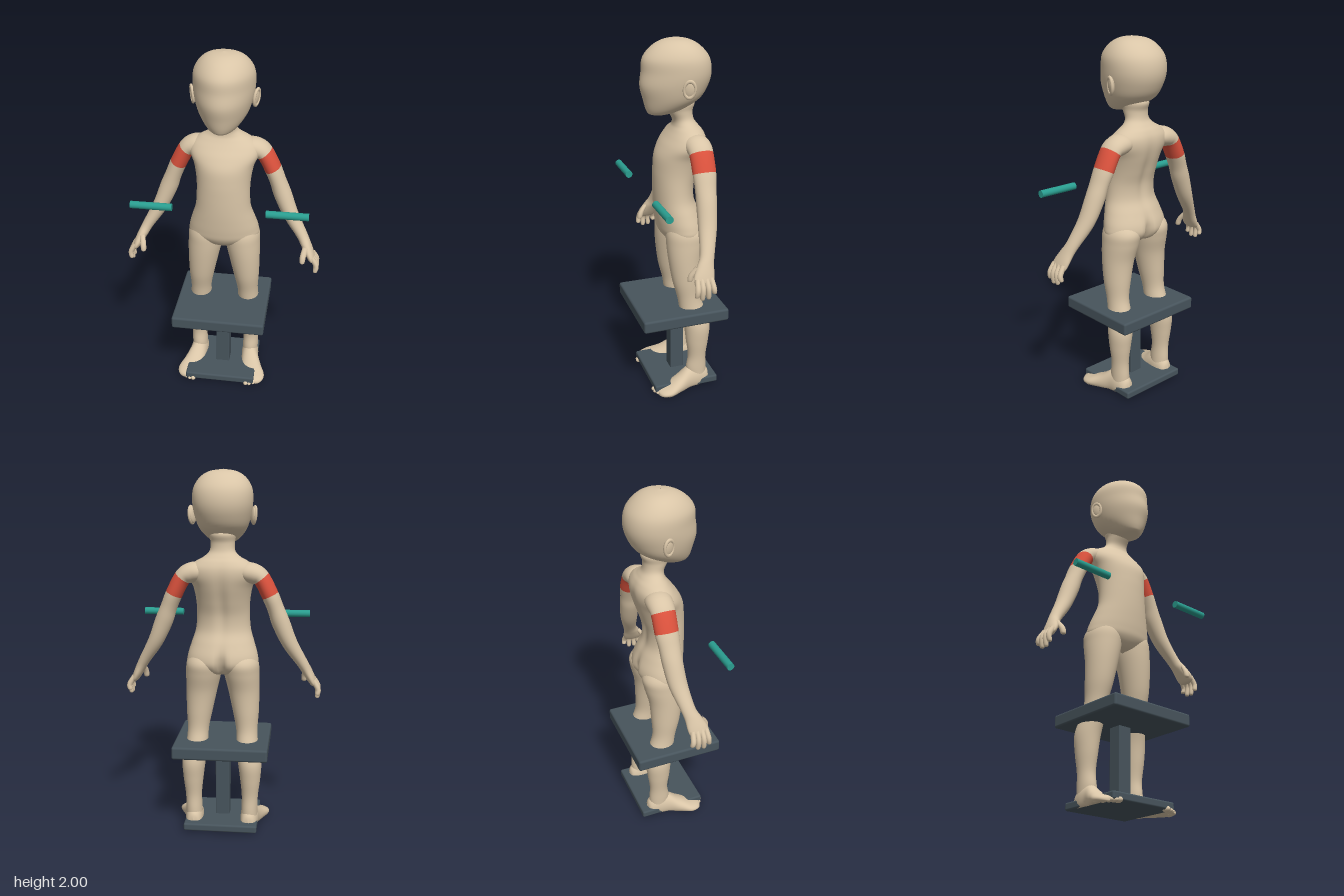
import * as THREE from 'three';
import { RoundedBoxGeometry } from 'three/addons/geometries/RoundedBoxGeometry.js';

const X = new THREE.Vector3(1, 0, 0), Y = new THREE.Vector3(0, 1, 0), Z = new THREE.Vector3(0, 0, 1);
const STEPS = 6;

// Smooth skin through rings [x, y, z, radiusA, radiusB]; axis fixes the ring plane, otherwise rings follow the path.
function loft(rings, { axis = null, side = Z, segs = 32, shape = null } = {}) {
  const centers = new THREE.CatmullRomCurve3(rings.map(r => new THREE.Vector3(r[0], r[1], r[2])), false, 'catmullrom', 0.5);
  const radii = new THREE.CatmullRomCurve3(rings.map(r => new THREE.Vector3(r[3], r[4], 0)), false, 'catmullrom', 0.5);
  const n = (rings.length - 1) * STEPS;
  const pos = [], idx = [];
  for (let i = 0; i <= n; i++) {
    const c = centers.getPoint(i / n), r = radii.getPoint(i / n);
    const t = axis ? axis : centers.getTangent(i / n);
    const u = new THREE.Vector3().crossVectors(t, side).normalize();
    for (let j = 0; j < segs; j++) {
      const a = (j / segs) * Math.PI * 2;
      const p = c.clone()
        .addScaledVector(u, Math.max(r.x, 0.0005) * Math.cos(a))
        .addScaledVector(side, Math.max(r.y, 0.0005) * Math.sin(a));
      if (shape) shape(p, Math.sin(a));
      pos.push(p.x, p.y, p.z);
      if (i < n) {
        const k = i * segs, a0 = k + j, b0 = k + (j + 1) % segs;
        idx.push(a0, a0 + segs, b0, b0, a0 + segs, b0 + segs);
      }
    }
  }
  const g = new THREE.BufferGeometry();
  g.setAttribute('position', new THREE.Float32BufferAttribute(pos, 3));
  g.setIndex(idx);
  g.computeVertexNormals();
  return g;
}

// Horizontal ring from height, centre x, half width, front z and back z
const slice = (y, x, hw, zf, zb) => [x, y, (zf + zb) / 2, hw, (zf - zb) / 2];
const bump = (v, c, w) => Math.exp(-(((v - c) / w) ** 2));

export function createModel() {
  const model = new THREE.Group();
  const mat = (name, color) => Object.assign(new THREE.MeshStandardMaterial({ color }), { name });
  const skin = mat('skin', 0xd9c5a7);
  const red = mat('red band', 0xdb523d);
  const slate = mat('slate', 0x47545c);
  const teal = mat('teal', 0x2a9d8f);

  const add = (name, geometry, material, parent = model) => {
    const m = new THREE.Mesh(geometry, material);
    m.name = name;
    parent.add(m);
    return m;
  };
  const ellipsoid = (name, parent, x, y, z, sx, sy, sz) => {
    const m = add(name, new THREE.SphereGeometry(1, 20, 14), skin, parent);
    m.position.set(x, y, z);
    m.scale.set(sx, sy, sz);
    return m;
  };

  // Head, narrowing toward the face
  add('head', loft([
    slice(1.605, 0, 0.001, 0.085, 0.083), slice(1.61, 0, 0.045, 0.128, 0.03),
    slice(1.635, 0, 0.085, 0.145, -0.05), slice(1.69, 0, 0.127, 0.16, -0.145),
    slice(1.76, 0, 0.15, 0.176, -0.19), slice(1.83, 0, 0.16, 0.168, -0.206),
    slice(1.90, 0, 0.155, 0.16, -0.193), slice(1.955, 0, 0.123, 0.115, -0.148),
    slice(1.988, 0, 0.073, 0.055, -0.09), slice(2.0, 0, 0.001, -0.014, -0.016),
  ], { axis: Y, segs: 48, shape: (p, s) => { p.x *= 1 - 0.13 * s; } }), skin);

  // Torso and neck, with a spine groove and a cleft at the seat
  add('torso', loft([
    slice(0.885, 0, 0.03, -0.01, -0.05), slice(0.905, 0, 0.12, 0.045, -0.12),
    slice(0.95, 0, 0.192, 0.08, -0.162), slice(1.0, 0, 0.194, 0.092, -0.165),
    slice(1.07, 0, 0.174, 0.1, -0.14), slice(1.14, 0, 0.153, 0.105, -0.112),
    slice(1.22, 0, 0.146, 0.107, -0.112), slice(1.3, 0, 0.148, 0.106, -0.135),
    slice(1.38, 0, 0.162, 0.097, -0.16), slice(1.44, 0, 0.188, 0.068, -0.172),
    slice(1.485, 0, 0.182, 0.035, -0.17), slice(1.52, 0, 0.142, 0.01, -0.155),
    slice(1.545, 0, 0.098, -0.002, -0.135), slice(1.575, 0, 0.069, 0.0, -0.115),
    slice(1.62, 0, 0.066, 0.025, -0.11), slice(1.67, 0, 0.07, 0.05, -0.12),
    slice(1.72, 0, 0.03, 0.0, -0.06),
  ], { axis: Y, segs: 64, shape: (p, s) => {
    if (s < 0) {
      p.z += 0.016 * bump(p.x, 0, 0.03) * bump(p.y, 1.28, 0.17);
      p.z += 0.04 * bump(p.x, 0, 0.022) * bump(p.y, 0.95, 0.07);
    }
  } }), skin);

  for (const s of [1, -1]) {
    const label = s > 0 ? 'left' : 'right';
    const flip = rings => rings.map(([x, ...rest]) => [x * s, ...rest]);

    // Ear: shell and raised rim
    const ear = new THREE.Group();
    ear.name = label + 'Ear';
    ear.position.set(s * 0.162, 1.762, -0.038);
    ear.rotation.set(-0.12, s * -0.35, s * -0.12);
    model.add(ear);
    ellipsoid('earShell', ear, 0, 0, 0, 0.014, 0.046, 0.032);
    const rim = add('earRim', new THREE.TorusGeometry(0.032, 0.008, 10, 28), skin, ear);
    rim.rotation.y = Math.PI / 2;
    rim.scale.set(0.9, 1.32, 1);
    rim.position.x = s * 0.006;

    // Arm and palm; rings 3 to 4 carry the band
    const arm = loft(flip([
      [0.08, 1.45, -0.08, 0.03, 0.05], [0.125, 1.462, -0.082, 0.052, 0.07],
      [0.17, 1.457, -0.085, 0.055, 0.07], [0.2125, 1.432, -0.086, 0.047, 0.065],
      [0.26, 1.342, -0.086, 0.046, 0.063], [0.29, 1.27, -0.082, 0.045, 0.057],
      [0.318, 1.195, -0.078, 0.049, 0.055], [0.368, 1.08, -0.066, 0.042, 0.05],
      [0.435, 0.97, -0.04, 0.031, 0.04], [0.463, 0.92, -0.02, 0.028, 0.046],
      [0.488, 0.872, -0.005, 0.024, 0.056], [0.504, 0.84, 0, 0.017, 0.05],
      [0.51, 0.825, 0, 0.001, 0.02],
    ]));
    const per = STEPS * 32 * 6;
    arm.addGroup(0, 3 * per, 0);
    arm.addGroup(3 * per, per, 1);
    arm.addGroup(4 * per, 8 * per, 0);
    add(label + 'Arm', arm, [skin, red]);

    // Fingers and thumb
    const finger = (name, pts, r) => {
      const [a, b, c] = pts;
      const tip = c.map((v, i) => v + (c[i] - b[i]) * 0.2);
      add(name, loft(flip([[...a, r, r], [...b, r, r], [...c, r * 0.85, r * 0.85], [...tip, 0.001, 0.001]]), { segs: 14 }), skin);
    };
    [[0.042, 0.782], [0.015, 0.766], [-0.015, 0.768], [-0.044, 0.79]].forEach(([z, y], i) =>
      finger(label + 'Finger' + (i + 1), [[0.5, 0.865, z * 0.85], [0.528, 0.818, z], [0.525, y, z * 1.1]], 0.0145));
    finger(label + 'Thumb', [[0.465, 0.92, 0.015], [0.453, 0.875, 0.048], [0.45, 0.842, 0.058]], 0.0165);

    // Leg
    add(label + 'Leg', loft(flip([
      slice(0.05, 0.156, 0.046, -0.04, -0.15), slice(0.12, 0.158, 0.046, -0.032, -0.15),
      slice(0.2, 0.16, 0.046, -0.042, -0.147), slice(0.3, 0.161, 0.057, -0.03, -0.16),
      slice(0.4, 0.157, 0.066, -0.018, -0.168), slice(0.5, 0.142, 0.061, 0.003, -0.14),
      slice(0.58, 0.137, 0.06, 0.016, -0.118), slice(0.68, 0.13, 0.073, 0.042, -0.12),
      slice(0.8, 0.118, 0.087, 0.06, -0.128), slice(0.9, 0.106, 0.098, 0.068, -0.152),
      slice(0.97, 0.1, 0.097, 0.066, -0.157), slice(1.04, 0.095, 0.06, 0.04, -0.1),
    ]), { axis: Y, segs: 40 }), skin);

    // Foot, flattened underneath
    const sole = [
      [-0.168, 0.155, 0.001, 0.06], [-0.153, 0.155, 0.036, 0.1], [-0.1, 0.157, 0.05, 0.135],
      [-0.04, 0.162, 0.052, 0.125], [0.02, 0.177, 0.06, 0.085], [0.08, 0.196, 0.066, 0.055],
      [0.125, 0.198, 0.058, 0.04], [0.15, 0.192, 0.038, 0.03], [0.158, 0.19, 0.001, 0.025],
    ].map(([z, x, hw, top]) => [x, top * 0.4, z, hw, top * 0.6]);
    add(label + 'Foot', loft(flip(sole), { axis: Z, side: Y, shape: p => {
      const outer = THREE.MathUtils.smoothstep(Math.abs(p.x), 0.18, 0.23);
      p.y = Math.max(p.y, 0.018 - 0.014 * outer);
    } }), skin);
    for (let i = 0; i < 5; i++) {
      const r = i ? 0.0125 : 0.016;
      ellipsoid(label + 'Toe' + (i + 1), model, s * (0.16 + 0.0215 * i), r + 0.002 * (i < 3 ? 1 : 0), 0.157 - 0.004 * i * i, r, r, 0.026);
    }

    // Handle bar
    const bar = add(label + 'Handle', new THREE.CylinderGeometry(0.02, 0.02, 0.225, 24), teal);
    bar.rotation.z = Math.PI / 2;
    bar.position.set(s * 0.3625, 1.2, 0.175);
  }

  // Stand: seat plate, post and base plate
  const box = (name, w, h, d, y, z, r) =>
    add(name, new RoundedBoxGeometry(w, h, d, 3, r), slate).position.set(0, y, z);
  box('seatPlate', 0.525, 0.07, 0.497, 0.485, 0, 0.012);
  box('post', 0.08, 0.42, 0.08, 0.245, -0.015, 0.006);
  box('basePlate', 0.41, 0.042, 0.38, 0.036, -0.02, 0.01);

  return model;
}
